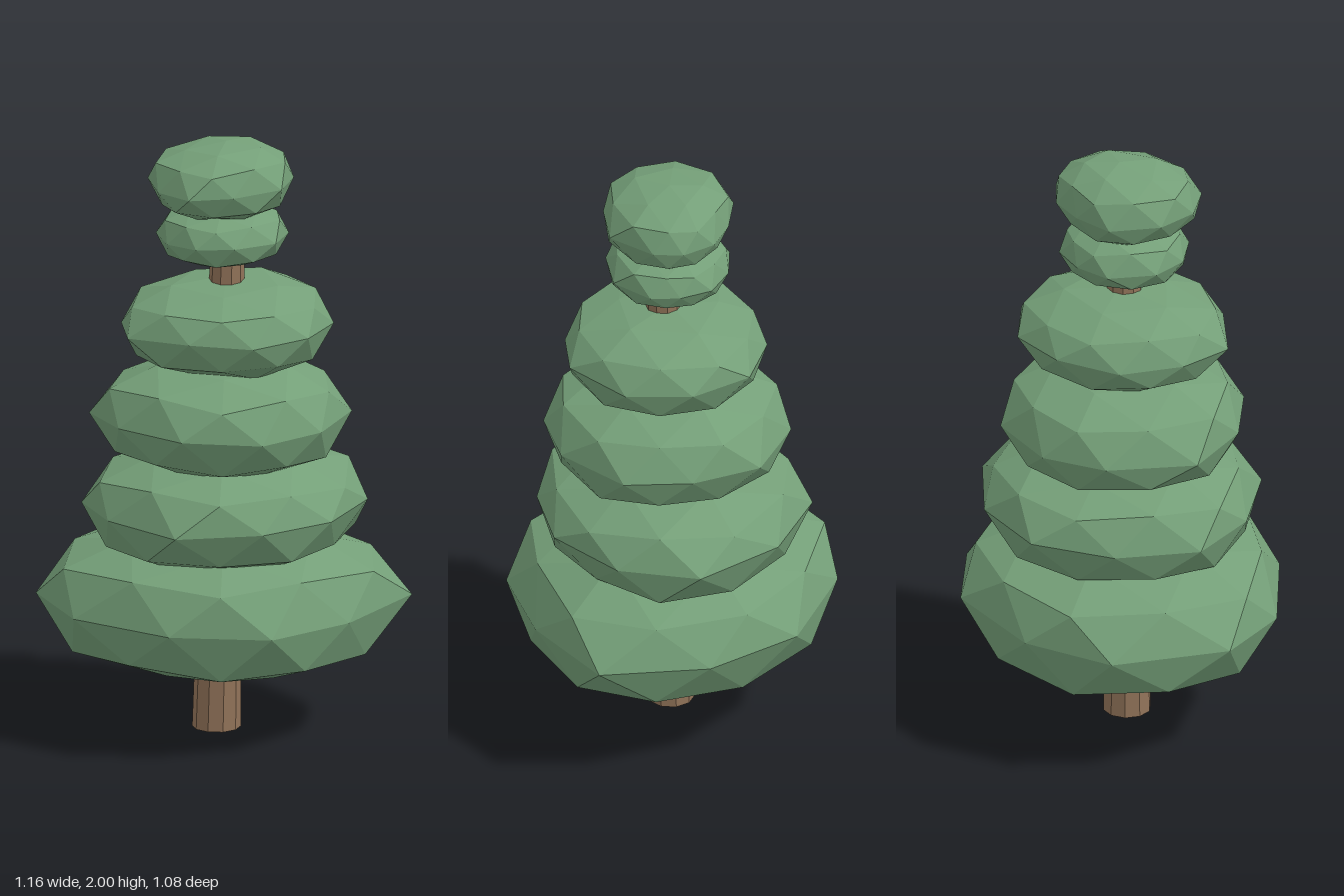
import * as THREE from 'three';

// Foliage tiers: bottom, widest and top heights, roundness of underside and top (lower is flatter),
// and the ten corners of the widest ring as x, z pairs
const TIERS = [
  { y: [0.195, 0.455, 0.71], round: [0.72, 0.95], ring: [0.49, 0.16, 0.32, 0.43, 0, 0.54, -0.37, 0.44, -0.58, 0.23,
    -0.58, -0.17, -0.37, -0.41, -0.01, -0.54, 0.31, -0.44, 0.58, -0.19] },
  { y: [0.56, 0.77, 0.97], round: [0.85, 0.95], ring: [0.42, 0.14, 0.26, 0.35, 0, 0.48, -0.28, 0.36, -0.445, 0.165,
    -0.42, -0.12, -0.29, -0.37, -0.01, -0.46, 0.3, -0.39, 0.44, -0.15] },
  { y: [0.885, 1.075, 1.27], round: [0.8, 0.8], ring: [0.385, 0.14, 0.25, 0.33, 0, 0.42, -0.25, 0.34, -0.42, 0.16,
    -0.38, -0.14, -0.24, -0.32, 0.01, -0.4, 0.235, -0.3, 0.39, -0.135] },
  { y: [1.215, 1.39, 1.54], round: [0.95, 0.8], ring: [0.34, 0.14, 0.2, 0.28, 0, 0.35, -0.23, 0.31, -0.315, 0.14,
    -0.32, -0.08, -0.19, -0.26, 0, -0.345, 0.21, -0.28, 0.34, -0.1] },
  { y: [1.59, 1.685, 1.79], round: [0.75, 0.75], ring: [0.2, 0.07, 0.1, 0.19, -0.02, 0.23, -0.14, 0.18, -0.22, 0.07,
    -0.2, -0.09, -0.1, -0.17, 0.02, -0.2, 0.12, -0.15, 0.19, -0.08] },
  { y: [1.742, 1.87, 2], round: [0.9, 0.78], ring: [0.22, 0.07, 0.1, 0.2, -0.03, 0.27, -0.16, 0.21, -0.245, 0.08,
    -0.22, -0.09, -0.1, -0.17, 0.02, -0.21, 0.14, -0.18, 0.2, -0.1] },
];

// Repeatable noise in -1..1 for a vertex, so shared corners stay joined
function noise(x, y, z, seed) {
  const key = Math.round(x * 100) * 12.9898 + Math.round(y * 100) * 78.233 + Math.round(z * 100) * 37.719;
  const s = Math.sin(key + seed * 4.37) * 43758.5453;
  return (s - Math.floor(s)) * 2 - 1;
}

// Low-poly ball with a vertex at each pole, its ten-sided equator pulled out to the tier's ring
function tierGeometry({ y: [bottom, middle, top], round, ring }, seed) {
  const geometry = new THREE.IcosahedronGeometry(1, 1);
  geometry.rotateX(-Math.atan((1 + Math.sqrt(5)) / 2)).rotateY(Math.PI / 2);
  const pos = geometry.attributes.position;
  for (let i = 0; i < pos.count; i++) {
    const x = pos.getX(i), y = pos.getY(i), z = pos.getZ(i);
    const spread = Math.hypot(x, z);

    // Place around the ring: equator vertices fall on corners, all others halfway between two
    const step = spread < 0.01 ? 0 : (Math.atan2(z, x) * 180 / Math.PI + 342) / 36;
    const turn = Math.round(step * 2) / 2;
    const a = Math.floor(turn) % 10, b = (a + 1) % 10, f = turn % 1;
    const isEquator = Math.abs(y) < 0.1;
    const wobble = isEquator ? 1 : 1 + 0.025 * noise(x, y, z, seed);
    const r = spread * wobble / (f > 0 ? Math.cos(Math.PI / 10) : 1);

    // Flatten the height above and below the widest ring
    const side = y < 0 ? 0 : 1;
    const reach = side ? top - middle : middle - bottom;
    const lift = isEquator ? 0 : Math.sign(y) * Math.abs(y) ** round[side];
    const bump = Math.abs(y) < 0.95 ? 0.05 * noise(z, x, y, seed + 9) : 0;
    pos.setXYZ(i,
      r * THREE.MathUtils.lerp(ring[2 * a], ring[2 * b], f),
      middle + reach * (lift + bump),
      r * THREE.MathUtils.lerp(ring[2 * a + 1], ring[2 * b + 1], f));
  }
  geometry.computeVertexNormals();
  return geometry;
}

export function createModel() {
  const tree = new THREE.Group();
  tree.name = 'tree';
  const leaf = new THREE.MeshStandardMaterial({ color: 0x749f78, flatShading: true });
  const bark = new THREE.MeshStandardMaterial({ color: 0x917359, flatShading: true });

  // Tapered trunk, leaning slightly toward the centre as it rises
  const trunkHeight = 1.8;
  const trunkGeometry = new THREE.CylinderGeometry(0.054, 0.08, trunkHeight, 10);
  trunkGeometry.translate(0, trunkHeight / 2, 0);
  const p = trunkGeometry.attributes.position;
  for (let i = 0; i < p.count; i++) {
    const t = p.getY(i) / trunkHeight;
    p.setX(i, p.getX(i) - 0.027 + 0.042 * t);
    p.setZ(i, p.getZ(i) + 0.018);
  }
  trunkGeometry.computeVertexNormals();
  const trunk = new THREE.Mesh(trunkGeometry, bark);
  trunk.name = 'trunk';
  tree.add(trunk);

  // Stacked foliage from the widest tier to the crown
  TIERS.forEach((tier, i) => {
    const mesh = new THREE.Mesh(tierGeometry(tier, i + 1), leaf);
    mesh.name = i === TIERS.length - 1 ? 'crown' : `foliageTier${i + 1}`;
    tree.add(mesh);
  });
  return tree;
}
